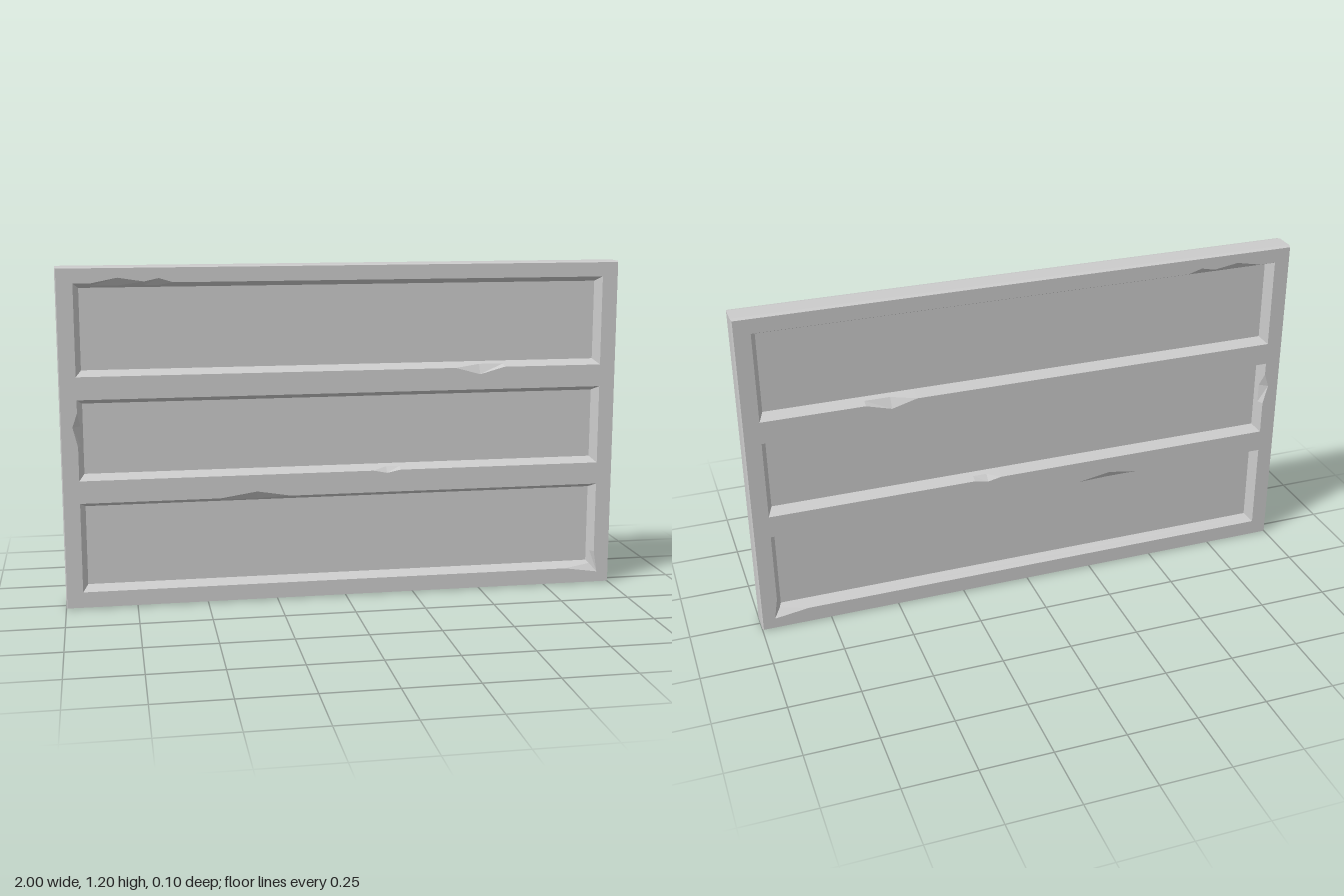
import * as THREE from 'three';

const FACE_Z = 0.05, MID_Z = 0.028, FLOOR_Z = 0.01;
const INSET = 0.018, MOUTH_X = 0.94;

// Each recess: lower and upper rim, and chipped rim points per side (listed counter-clockwise)
const recesses = [
  {
    name: 'lowerRecess', y0: 0.06, y1: 0.38,
    bottom: [[0.83, 0.06]], corner: [0.953, 0.042], right: [[0.94, 0.12]],
    top: [[-0.2, 0.38], [-0.32, 0.4], [-0.45, 0.38]],
  },
  {
    name: 'middleRecess', y0: 0.46, y1: 0.745,
    bottom: [[0.1, 0.46], [0.15, 0.45], [0.2, 0.46]],
    left: [[-0.94, 0.7], [-0.957, 0.65], [-0.94, 0.58]],
  },
  {
    name: 'upperRecess', y0: 0.825, y1: 1.145,
    bottom: [[0.4, 0.825], [0.49, 0.8], [0.58, 0.825]],
    top: [[-0.6, 1.145], [-0.65, 1.16], [-0.7, 1.149], [-0.79, 1.163], [-0.88, 1.145]],
  },
];

const material = new THREE.MeshStandardMaterial({ color: 0xcccccc, flatShading: true });
const clamp = THREE.MathUtils.clamp;

function rimOf({ y0, y1, bottom = [], corner, right = [], top = [], left = [] }) {
  return [
    [-MOUTH_X, y0], ...bottom, corner ?? [MOUTH_X, y0], ...right,
    [MOUTH_X, y1], ...top, [-MOUTH_X, y1], ...left,
  ];
}

const atZ = (points, z) => points.map(([x, y]) => [x, y, z]);

// Pull rim points back inside the unchipped rectangle, shrunk by an amount
const shrink = (points, { y0, y1 }, d) => points.map(([x, y]) => [
  clamp(x, -MOUTH_X + d, MOUTH_X - d), clamp(y, y0 + d, y1 - d),
]);

// Skin a chain of closed loops; side -1 mirrors it to the back
function skin(name, loops, side = 1) {
  const pos = [];
  const tri = (a, b, c) => {
    for (const p of side > 0 ? [a, b, c] : [a, c, b]) pos.push(p[0], p[1], p[2] * side);
  };
  for (let k = 0; k < loops.length - 1; k++) {
    const a = loops[k], b = loops[k + 1];
    for (let i = 0; i < a.length; i++) {
      const j = (i + 1) % a.length;
      tri(a[i], a[j], b[j]);
      tri(a[i], b[j], b[i]);
    }
  }
  const geometry = new THREE.BufferGeometry();
  geometry.setAttribute('position', new THREE.Float32BufferAttribute(pos, 3));
  geometry.computeVertexNormals();
  const mesh = new THREE.Mesh(geometry, material);
  mesh.name = name;
  return mesh;
}

function rectangle(inset) {
  const x = 1 - inset, y0 = inset, y1 = 1.2 - inset;
  return [[-x, y0], [x, y0], [x, y1], [-x, y1]];
}

const toVectors = (points) => points.map(([x, y]) => new THREE.Vector2(x, y));

export function createModel() {
  const model = new THREE.Group();
  model.name = 'recessedPanel';

  // Outer border with a tiny bevel
  const edge = rectangle(0), bevel = rectangle(0.004);
  model.add(skin('outerBorder', [
    atZ(bevel, -FACE_Z), atZ(edge, -0.035), atZ(edge, 0.035), atZ(bevel, FACE_Z),
  ]));

  for (const side of [1, -1]) {
    const half = new THREE.Group();
    half.name = side > 0 ? 'frontSide' : 'backSide';

    // Frame face with three chipped openings
    const shape = new THREE.Shape(toVectors(bevel.map(([x, y]) => [x * side, y])));
    for (const recess of recesses) {
      shape.holes.push(new THREE.Path(toVectors(rimOf(recess).map(([x, y]) => [x * side, y]))));
    }
    const face = new THREE.Mesh(new THREE.ShapeGeometry(shape), material);
    face.geometry.translate(0, 0, FACE_Z);
    if (side < 0) face.geometry.rotateY(Math.PI);
    face.name = 'frameFace';
    half.add(face);

    for (const recess of recesses) {
      // Sloped walls: chips only bite into the outer half
      const rim = rimOf(recess);
      const slope = INSET / (FACE_Z - FLOOR_Z);
      half.add(skin(recess.name + 'Walls', [
        atZ(rim, FACE_Z),
        atZ(shrink(rim, recess, slope * (FACE_Z - MID_Z)), MID_Z),
        atZ(shrink(rim, recess, INSET), FLOOR_Z),
      ], side));

      // Flat recessed board
      const floor = new THREE.Mesh(
        new THREE.PlaneGeometry(2 * (MOUTH_X - INSET), recess.y1 - recess.y0 - 2 * INSET), material);
      floor.geometry.translate(0, (recess.y0 + recess.y1) / 2, FLOOR_Z);
      if (side < 0) floor.geometry.rotateY(Math.PI);
      floor.name = recess.name + 'Board';
      half.add(floor);
    }
    model.add(half);
  }
  return model;
}
